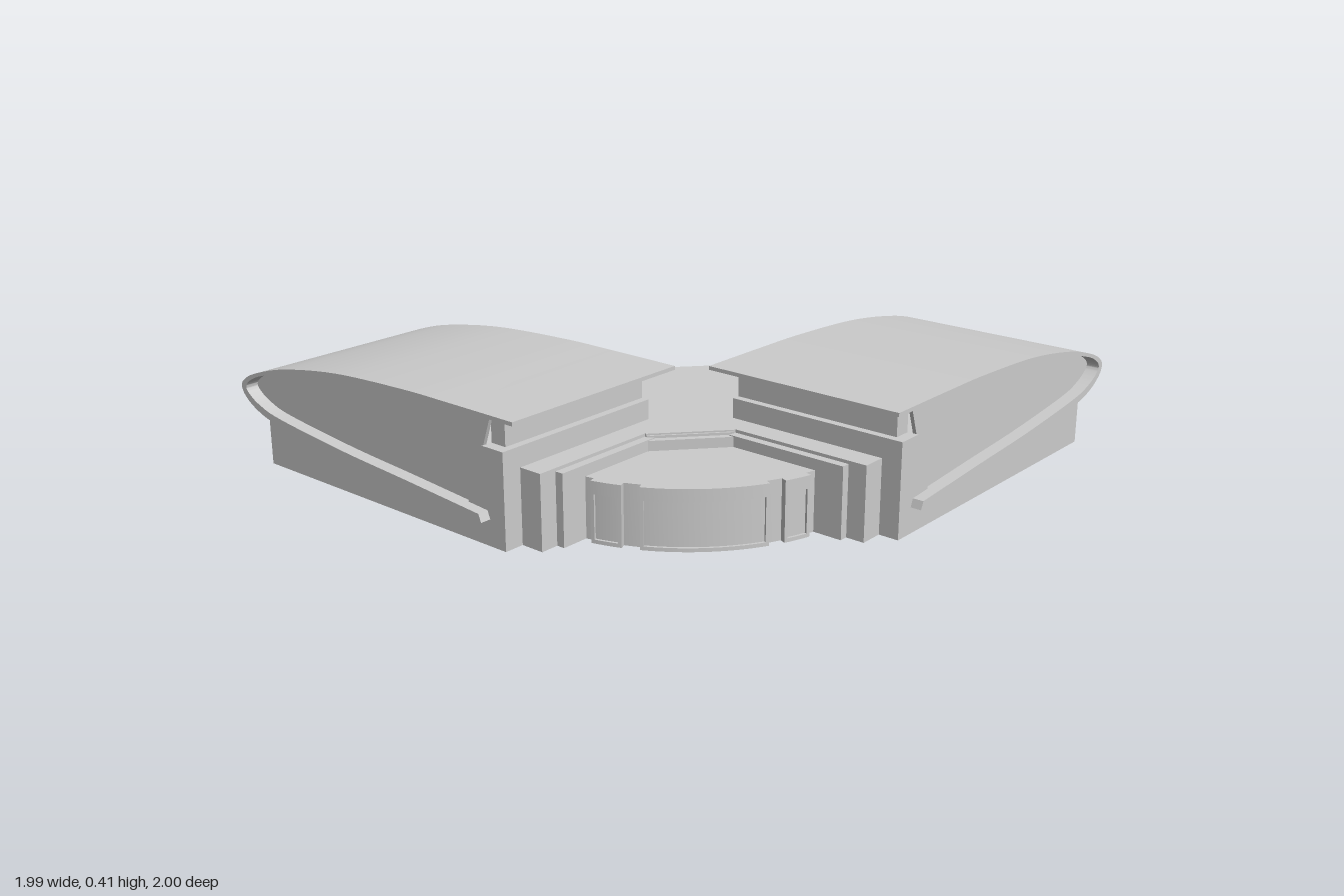
import * as THREE from 'three';
import { toCreasedNormals } from 'three/addons/utils/BufferGeometryUtils.js';

const material = new THREE.MeshStandardMaterial({ color: 0xcccccc, side: THREE.DoubleSide });
const vectors = (pts) => pts.map(([x, y]) => new THREE.Vector2(x, y));

function add(parent, name, geometry) {
  const mesh = new THREE.Mesh(geometry, material);
  mesh.name = name;
  parent.add(mesh);
  return mesh;
}

// Side outline (x, y) extruded from z0 to z1
function sideGeometry(pts, z0, z1) {
  const lo = Math.min(z0, z1), depth = Math.abs(z1 - z0);
  return new THREE.ExtrudeGeometry(new THREE.Shape(pts), { depth, bevelEnabled: false }).translate(0, 0, lo);
}

// Floor plan (x, z) extruded from y0 to y1
function planGeometry(pts, y0, y1) {
  const shape = new THREE.Shape(pts.map(([x, z]) => new THREE.Vector2(x, -z)));
  return new THREE.ExtrudeGeometry(shape, { depth: y1 - y0, bevelEnabled: false })
    .rotateX(-Math.PI / 2).translate(0, y0, 0);
}

function box(parent, name, x0, x1, y0, y1, z0, z1) {
  const g = new THREE.BoxGeometry(x1 - x0, y1 - y0, Math.abs(z1 - z0));
  g.translate((x0 + x1) / 2, (y0 + y1) / 2, (z0 + z1) / 2);
  return add(parent, name, g);
}

const roofOuter = new THREE.SplineCurve(vectors([
  [-0.26, 0.413], [0, 0.413], [0.2, 0.411], [0.5, 0.395], [0.75, 0.357], [0.9, 0.315], [0.967, 0.284],
  [0.99, 0.255], [0.967, 0.218], [0.9, 0.182], [0.8, 0.16], [0.5, 0.13], [0.2, 0.108], [-0.12, 0.083],
]));
const roofInner = new THREE.SplineCurve(vectors([
  [-0.11, 0.108], [0.2, 0.131], [0.5, 0.152], [0.8, 0.184], [0.9, 0.208], [0.95, 0.234], [0.966, 0.256],
  [0.945, 0.28], [0.88, 0.309], [0.74, 0.344], [0.5, 0.381], [0.2, 0.397], [0, 0.4], [-0.26, 0.401],
]));

// One wing, hollow under the roof shell; side = -1 gives the handed version
function makeWing(name, side) {
  const wing = new THREE.Group();
  wing.name = name;
  const inner = roofInner.getPoints(78);
  const wingBox = (label, x0, x1, y0, y1, z0, z1, parent = wing) =>
    box(parent, label, x0, x1, y0, y1, side * z0, side * z1);

  // Wrapping roof shell
  const shell = sideGeometry([...roofOuter.getPoints(78), ...inner], side * 0.33, side * 1.0);
  add(wing, 'roofShell', toCreasedNormals(shell, 0.5));

  // Recessed side walls inside the shell, with a slanted end
  const wall = inner.filter((p) => p.x > (p.y > 0.25 ? -0.125 : -0.03));
  const wallOutline = [...vectors([[-0.03, 0.11]]), ...wall, ...vectors([[-0.13, 0.4]])];
  for (const [z0, z1] of [[0.368, 0.38], [0.945, 0.957]])
    add(wing, 'upperWall', sideGeometry(wallOutline, side * z0, side * z1));
  wingBox('endWall', -0.155, -0.1, 0.28, 0.4, 0.36, 0.93);

  // Ground storey walls, open underneath
  const groundOutline = vectors([
    [-0.18, 0], [0.905, 0], [0.905, 0.19], [0.8, 0.17], [0.5, 0.14], [-0.03, 0.11], [-0.097, 0.298], [-0.18, 0.298],
  ]);
  for (const [z0, z1] of [[0.36, 0.375], [0.95, 0.965]])
    add(wing, 'groundSideWall', sideGeometry(groundOutline, side * z0, side * z1));
  wingBox('groundInnerWall', -0.18, -0.165, 0, 0.298, 0.36, 0.965);
  wingBox('groundOuterWall', 0.89, 0.905, 0, 0.182, 0.36, 0.965);
  wingBox('groundLedge', -0.18, -0.098, 0.286, 0.298, 0.36, 0.965);

  // Link to the hub
  wingBox('linkRoof', -0.258, -0.17, 0.222, 0.235, 0.38, 0.9);
  wingBox('linkWall', -0.258, -0.246, 0, 0.222, 0.38, 0.9);
  wingBox('linkEnd', -0.246, -0.17, 0, 0.222, 0.888, 0.9);
  wingBox('linkPanel', -0.285, -0.258, 0, 0.225, 0.43, 0.84);

  // Entrance screen at the far end, with a doorway and side louvres
  const screen = new THREE.Group();
  screen.name = 'entranceScreen';
  wing.add(screen);
  const screenBox = (...args) => wingBox(...args, screen);
  screenBox('screenLintel', 0.972, 0.982, 0.12, 0.168, 0.44, 0.89);
  for (const [z0, z1] of [[0.44, 0.585], [0.76, 0.89]]) {
    screenBox('screenPanel', 0.972, 0.982, 0, 0.12, z0, z1);
    screenBox('screenPlinth', 0.905, 0.972, 0, 0.035, z0, z1);
    for (const y of [0.05, 0.08, 0.11]) screenBox('louvre', 0.905, 0.972, y - 0.007, y + 0.007, z0 + 0.01, z1 - 0.01);
  }
  screenBox('doorBar', 0.92, 0.972, 0.05, 0.062, 0.585, 0.76);
  return wing;
}

const CX = -0.17, CZ = 0.17;
const arc = (r, a0, a1, n = 24) => Array.from({ length: n + 1 }, (_, i) => {
  const a = THREE.MathUtils.degToRad(a0 + (a1 - a0) * i / n);
  return [CX + r * Math.cos(a), CZ + r * Math.sin(a)];
});

// Curved wall piece between two radii and two angles
function curvedPiece(parent, name, r0, r1, a0, a1, y0, y1) {
  const g = planGeometry([...arc(r0, a0, a1), ...arc(r1, a1, a0)], y0, y1);
  add(parent, name, toCreasedNormals(g, 0.5));
}

// Thin upright wall between two plan points
function planWall(parent, name, [x0, z0], [x1, z1], y0, y1) {
  const t = 0.012;
  const mesh = add(parent, name, new THREE.BoxGeometry(Math.hypot(x1 - x0, z1 - z0), y1 - y0, t));
  mesh.position.set((x0 + x1) / 2, (y0 + y1) / 2, (z0 + z1) / 2);
  mesh.rotation.y = -Math.atan2(z1 - z0, x1 - x0);
}

function makeHub() {
  const hub = new THREE.Group();
  hub.name = 'hub';
  // Central hall: flat roof on thin walls
  const hall = [
    [-0.46, 0.18], [-0.36, 0.04], [-0.21, -0.155], [-0.235, -0.18], [-0.12, -0.31], [0.265, 0.03],
    [0.15, 0.16], [0.13, 0.14], [-0.05, 0.335], [-0.18, 0.46], [-0.265, 0.43], [-0.46, 0.255],
  ];
  add(hub, 'hallRoof', planGeometry(hall, 0.222, 0.235));
  for (let i = 1; i < 8; i++) planWall(hub, 'hallWall', hall[i], hall[i + 1], 0, 0.23);
  planWall(hub, 'hallFrontWall', hall[10], hall[11], 0.18, 0.23);
  // Lower parapet along the front of the hall
  add(hub, 'parapet', planGeometry(
    [[-0.46, 0.25], [-0.265, 0.425], [-0.28, 0.45], [-0.485, 0.27]], 0.1, 0.222));
  // Rounded foyer, a full sector reaching under the hall
  const foyer = planGeometry([[CX, CZ], ...arc(0.585, 95, 175)], 0, 0.19);
  add(hub, 'foyer', toCreasedNormals(foyer, 0.5));
  // Framed windows around the foyer
  for (const [a0, a1] of [[104.5, 112.7], [117.4, 152.6], [157.7, 166.7]]) {
    curvedPiece(hub, 'windowHead', 0.58, 0.605, a0, a1, 0.15, 0.19);
    curvedPiece(hub, 'windowSill', 0.58, 0.605, a0, a1, 0, 0.012);
    curvedPiece(hub, 'windowPane', 0.58, 0.597, a0, a1, 0.012, 0.15);
    for (const a of [a0, a1 - 1]) curvedPiece(hub, 'windowPost', 0.58, 0.605, a, a + 1, 0.012, 0.15);
  }
  // Entrance ramp behind the hall
  const ramp = add(hub, 'ramp', sideGeometry(vectors([[-0.02, 0], [0.075, 0], [0.015, 0.05], [-0.02, 0.05]]), -0.17, 0.17));
  ramp.position.set(0.082, 0, -0.15);
  ramp.rotation.y = Math.atan2(0.754, 0.657);
  return hub;
}

export function createModel() {
  const model = new THREE.Group();
  model.name = 'building';
  const rearWing = makeWing('rearWing', -1);
  rearWing.rotation.y = Math.PI / 2;
  rearWing.position.set(0.004, 0, -0.008);
  model.add(makeWing('frontWing', 1), rearWing, makeHub());
  return model;
}
